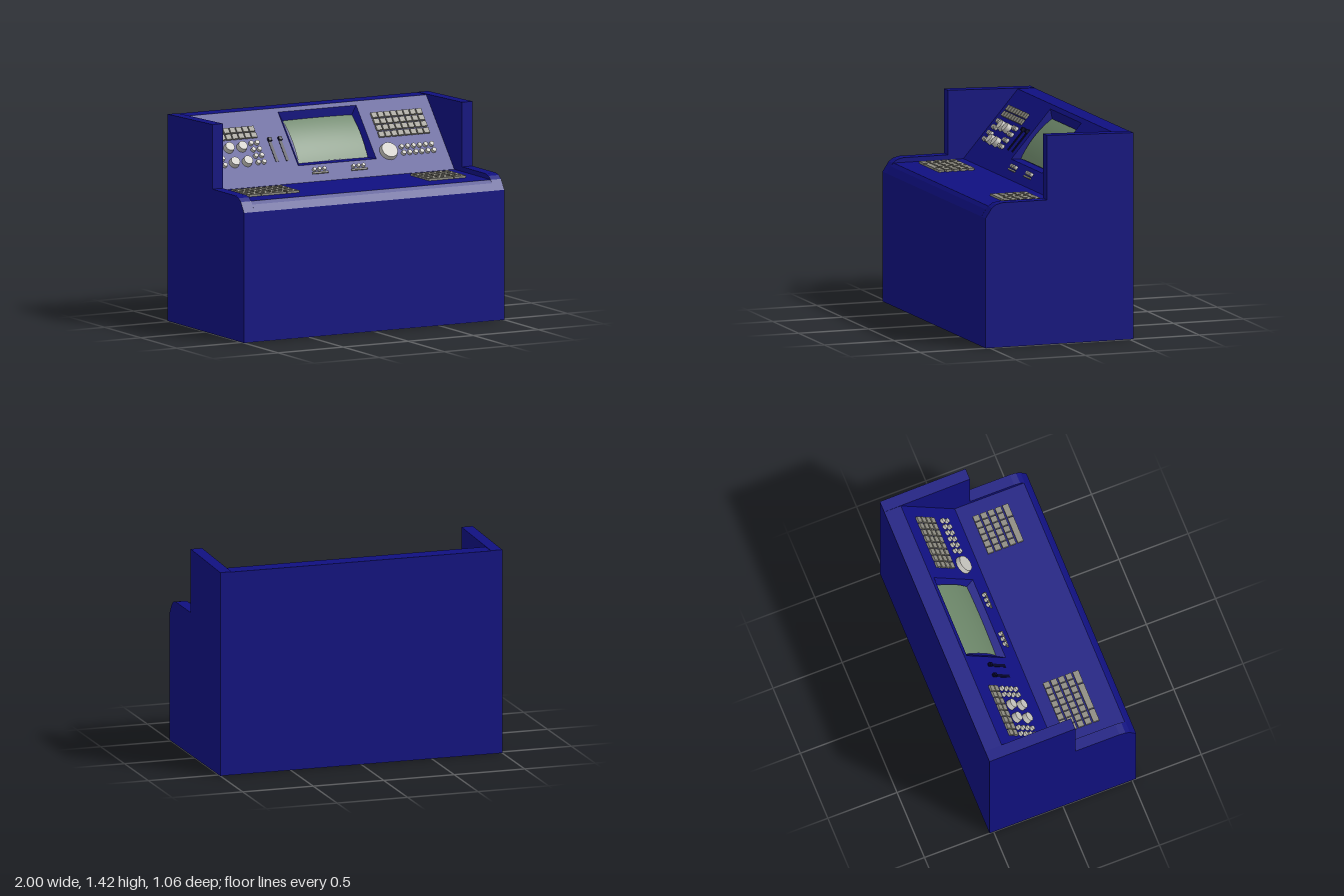
import * as THREE from 'three';

const mat = (color) => new THREE.MeshStandardMaterial({ color });
const navy = mat(0x101080), black = mat(0x04042a), keyGrey = mat(0x8c8a80);
const knobGrey = mat(0xc4c2bc), glass = mat(0x6b8568);

// Foot and top of the sloping control panel
const FLOOR = 0.953, FOOT_Z = -0.02, RISE = 0.452, RUN = 0.39;
const SLOPE = Math.hypot(RISE, RUN);
const up = (y) => (y - FLOOR) * SLOPE / RISE; // world height -> distance up the panel

function add(parent, name, geometry, material, x = 0, y = 0, z = 0) {
  const mesh = new THREE.Mesh(geometry, material);
  mesh.name = name;
  mesh.position.set(x, y, z);
  parent.add(mesh);
  return mesh;
}

// Extrude a [z, y] profile across x
function slab(points, x0, x1) {
  const shape = new THREE.Shape(points.map(([z, y]) => new THREE.Vector2(-z, y)));
  const g = new THREE.ExtrudeGeometry(shape, { depth: x1 - x0, bevelEnabled: false });
  return g.rotateY(Math.PI / 2).translate(x0, 0, 0);
}

// Parts below lie on a local xy plane and stand out along z
function key(parent, x, y, w = 0.041, h = 0.04, d = 0.015) {
  add(parent, 'key', new THREE.BoxGeometry(w, h, d), keyGrey, x, y, d / 2);
}

function knob(parent, x, y, r, d) {
  const g = new THREE.CylinderGeometry(r * 0.9, r, d, 20).rotateX(Math.PI / 2);
  add(parent, 'knob', g, knobGrey, x, y, d / 2);
}

function grid(xs, ys, place) {
  for (const y of ys) for (const x of xs) place(x, y);
}

const series = (start, step, n) => Array.from({ length: n }, (_, i) => start + i * step);

// Recess with sloping walls, from an outer to an inner rectangle
function recess([x0, y0, x1, y1], [a0, b0, a1, b1], depth) {
  const g = new THREE.BufferGeometry();
  g.setAttribute('position', new THREE.Float32BufferAttribute([
    x0, y0, 0, x1, y0, 0, x1, y1, 0, x0, y1, 0,
    a0, b0, -depth, a1, b0, -depth, a1, b1, -depth, a0, b1, -depth], 3));
  const index = [4, 5, 6, 4, 6, 7];
  for (let i = 0; i < 4; i++) {
    const j = (i + 1) % 4;
    index.push(i, j, j + 4, i, j + 4, i + 4);
  }
  g.setIndex(index);
  const flat = g.toNonIndexed();
  flat.computeVertexNormals();
  return flat;
}

function controlPanel() {
  const panel = new THREE.Group();
  panel.name = 'controlPanel';

  // Panel face with an opening for the screen
  const outer = [-0.23, up(1.055), 0.37, up(1.38)];
  const inner = [-0.195, 0.176, 0.335, 0.516];
  const rect = (T, [x0, y0, x1, y1]) => new T([[x0, y0], [x1, y0], [x1, y1], [x0, y1]]
    .map(([x, y]) => new THREE.Vector2(x, y)));
  const face = rect(THREE.Shape, [-0.92, 0, 0.92, SLOPE]);
  face.holes.push(rect(THREE.Path, outer));
  add(panel, 'panelFace', new THREE.ShapeGeometry(face), navy);
  add(panel, 'screenRecess', recess(outer, inner, 0.042), navy);

  // Bulging screen glass
  const w = inner[2] - inner[0], h = inner[3] - inner[1];
  const screen = new THREE.PlaneGeometry(w, h, 12, 16);
  const p = screen.attributes.position;
  for (let i = 0; i < p.count; i++) {
    const u = p.getX(i) / (w / 2), v = p.getY(i) / (h / 2);
    p.setZ(i, 0.022 * (1 - v * v) + 0.006 * (1 - u * u));
  }
  screen.computeVertexNormals();
  add(panel, 'screen', screen, glass, 0.07, (inner[1] + inner[3]) / 2, -0.039);

  // Left bank: keys, small knobs and four dials
  grid(series(-0.82, 0.0485, 8), [up(1.292), up(1.255)], (x, y) => key(panel, x, y));
  grid([-0.825, -0.778, -0.523, -0.478], [1.208, 1.17, 1.132, 1.093].map(up),
    (x, y) => knob(panel, x, y, 0.017, 0.02));
  grid([-0.702, -0.603], [up(1.19), up(1.102)], (x, y) => knob(panel, x, y, 0.036, 0.035));

  // Slider slots with their handles
  for (const x of [-0.375, -0.295]) {
    add(panel, 'sliderSlot', new THREE.BoxGeometry(0.022, 0.19, 0.006), black, x, up(1.162), 0.001);
    add(panel, 'sliderHandle', new THREE.BoxGeometry(0.024, 0.026, 0.02), black, x, up(1.22), 0.01);
  }

  // Right bank: keys, large dial and small knobs
  grid(series(0.47, 0.0492, 8), [1.308, 1.27, 1.232, 1.192].map(up), (x, y) => key(panel, x, y));
  knob(panel, 0.478, up(1.09), 0.064, 0.03);
  grid(series(0.585, 0.0462, 6), [up(1.11), up(1.073)], (x, y) => knob(panel, x, y, 0.017, 0.02));

  // Two knob clusters under the screen, each over a bar
  for (const x of [-0.087, 0.213]) {
    for (const dx of [-0.038, 0, 0.038]) knob(panel, x + dx, up(1.022), 0.014, 0.018);
    key(panel, x, up(1.002), 0.12, 0.012, 0.01);
  }

  panel.position.set(0, FLOOR, FOOT_Z);
  panel.rotation.x = -Math.atan2(RUN, RISE);
  return panel;
}

// Keyboard lying on the desk, with wide bars along its front edge
function keyboard(name, start, columns, bars) {
  const board = new THREE.Group();
  board.name = name;
  grid(series(start, 0.0487, columns), series(-0.09, -0.0535, 4),
    (x, y) => key(board, x, y, 0.042, 0.042));
  for (const [x0, x1] of bars) key(board, (x0 + x1) / 2, -0.304, x1 - x0, 0.042);
  board.position.y = FLOOR;
  board.rotation.x = -Math.PI / 2;
  return board;
}

export function createModel() {
  const model = new THREE.Group();
  model.name = 'controlConsole';

  // Cabinet between the side walls, set back behind the control panel
  const cabinet = [[0.53, 0], [0.53, 0.885], [0.5, 0.932], [0.48, FLOOR], [FOOT_Z, FLOOR],
    [-0.085, FLOOR], [-0.475, 1.395], [-0.41, 1.405], [-0.53, 1.405], [-0.53, 0]];
  add(model, 'cabinet', slab(cabinet, -0.92, 0.92), navy);

  // Side walls with a rounded front shoulder and a raised rear wing
  const side = [[0.53, 0], [0.53, 0.885], [0.485, 0.953], [0.453, 0.975], [0.41, 0.985],
    [0.09, 0.985], [0.09, 1.425], [-0.53, 1.407], [-0.53, 0]];
  add(model, 'rightSide', slab(side, -1, -0.92), navy);
  add(model, 'leftSide', slab(side, 0.92, 1), navy);

  model.add(controlPanel());
  model.add(keyboard('rightKeyboard', -0.823, 8, [[-0.845, -0.755], [-0.748, -0.56], [-0.552, -0.461]]));
  model.add(keyboard('leftKeyboard', 0.556, 6, [[0.535, 0.722], [0.73, 0.82]]));
  return model;
}
